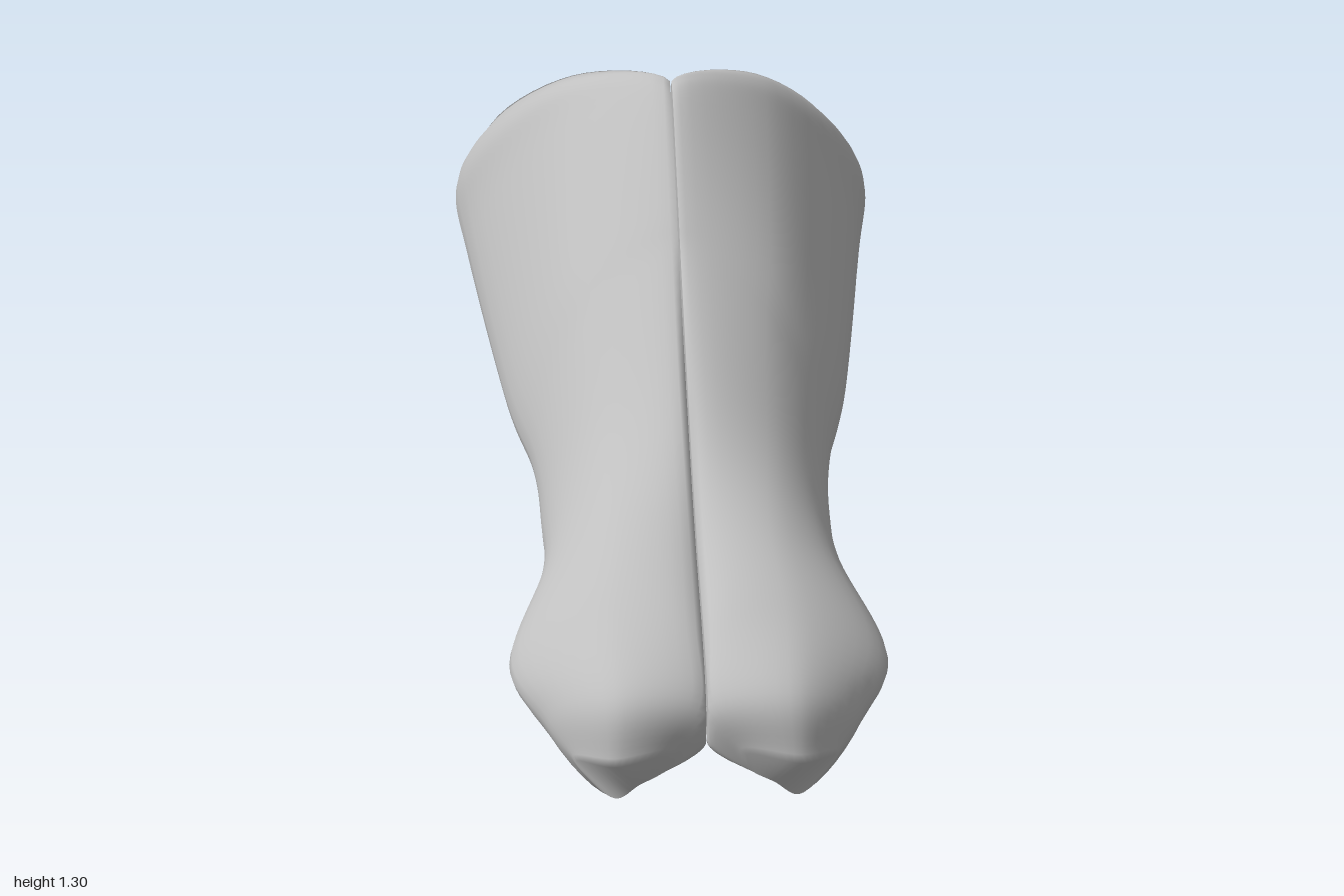
import * as THREE from 'three';

// Cross-sections from the narrow front tip to the flared rear rim:
// [medial top y, z, x], outer face, lateral edge, inner lower corner,
// [medial bottom y, z, x], hollowing of the inner face
const SECTIONS = [
  [[0.11, 0.955, 0.08], [0.19, 0.10, 0.985], [0.27, 0.09, 0.925], [0.19, 0.015, 0.945], [0.07, 0.94, 0.09], 0],
  [[0.21, 0.935], [0.19, 0.24, 0.95], [0.335, 0.15, 0.84], [0.21, 0.02, 0.89], [0.12, 0.92], 0],
  [[0.32, 0.81], [0.20, 0.36, 0.76], [0.405, 0.215, 0.685], [0.22, 0.10, 0.73], [0.13, 0.79], 0],
  [[0.46, 0.57], [0.18, 0.47, 0.55], [0.33, 0.34, 0.45], [0.21, 0.145, 0.46], [0.17, 0.50], 0],
  [[0.65, 0.32], [0.20, 0.60, 0.27], [0.33, 0.38, 0.22], [0.22, 0.19, 0.25], [0.22, 0.27], 0],
  [[0.92, 0.01], [0.22, 0.78, 0.03], [0.345, 0.45, 0.04], [0.20, 0.395, 0.0], [0.62, 0.08], 0.15],
  [[1.03, -0.10], [0.25, 0.90, -0.13], [0.405, 0.55, -0.18], [0.26, 0.52, -0.18], [0.85, -0.06], 0.25],
  [[1.24, -0.31], [0.27, 1.16, -0.46], [0.50, 0.80, -0.69], [0.39, 0.71, -0.68], [1.10, -0.33], 0.4],
  [[1.29, -0.38], [0.27, 1.25, -0.57], [0.53, 0.95, -0.85], [0.45, 0.80, -0.86], [1.20, -0.40], 0.45],
  [[1.29, -0.40], [0.23, 1.27, -0.65], [0.455, 1.07, -0.95], [0.45, 0.92, -0.985], [1.23, -0.41], 0.6],
];
const RINGS = 72, SIDES = 48;

// The six corner points of one section, in order around it
function corners([top, outer, lateral, inner, bottom, hollow]) {
  const medial = ([y, z, x = 0]) => new THREE.Vector3(x, y, z);
  const a = medial(top), m = medial(bottom);
  const [o, c, i] = [outer, lateral, inner].map((p) => new THREE.Vector3(...p));
  const d = i.clone().lerp(m, 0.5).lerp(o, hollow);
  return [a, o, c, i, d, m];
}

// Lofts one half; side = 1 for left, -1 for its mirror image
function halfGeometry(side) {
  const sections = SECTIONS.map(corners);
  const rails = [0, 1, 2, 3, 4, 5].map((j) =>
    new THREE.CatmullRomCurve3(sections.map((s) => s[j]), false, 'catmullrom', 0.5));
  const pos = [], index = [];
  const tri = (a, b, c) => (side > 0 ? index.push(a, b, c) : index.push(a, c, b));

  for (let i = 0; i <= RINGS; i++) {
    const loop = new THREE.CatmullRomCurve3(
      rails.map((r) => r.getPoint(i / RINGS)), true, 'centripetal');
    for (let k = 0; k < SIDES; k++) {
      const p = loop.getPoint(k / SIDES);
      // Flat contact face between the halves
      pos.push(side * Math.max(p.x, 0.002), p.y, p.z);
    }
  }
  for (let i = 0; i < RINGS; i++) {
    for (let k = 0; k < SIDES; k++) {
      const k1 = (k + 1) % SIDES, r = i * SIDES, n = r + SIDES;
      tri(r + k, r + k1, n + k);
      tri(r + k1, n + k1, n + k);
    }
  }
  // End caps, bridged between the outer and inner faces
  const seam = Math.round(SIDES * 2.5 / 6), last = RINGS * SIDES;
  for (let j = 0; j < SIDES / 2; j++) {
    const [p0, p1, q0, q1] = [seam + j, seam + j + 1, seam - j, seam - j - 1]
      .map((k) => (k + SIDES) % SIDES);
    tri(q1, p0, q0);
    tri(q1, p1, p0);
    tri(last + q1, last + q0, last + p0);
    tri(last + q1, last + p0, last + p1);
  }
  const g = new THREE.BufferGeometry();
  g.setAttribute('position', new THREE.Float32BufferAttribute(pos, 3));
  g.setIndex(index);
  g.computeVertexNormals();
  return g;
}

export function createModel() {
  const group = new THREE.Group();
  group.name = 'pairedBones';
  const bone = new THREE.MeshStandardMaterial({ color: 0xbfbfbf });
  bone.name = 'bone grey';
  for (const [name, side] of [['leftBone', 1], ['rightBone', -1]]) {
    const mesh = new THREE.Mesh(halfGeometry(side), bone);
    mesh.name = name;
    group.add(mesh);
  }
  return group;
}
